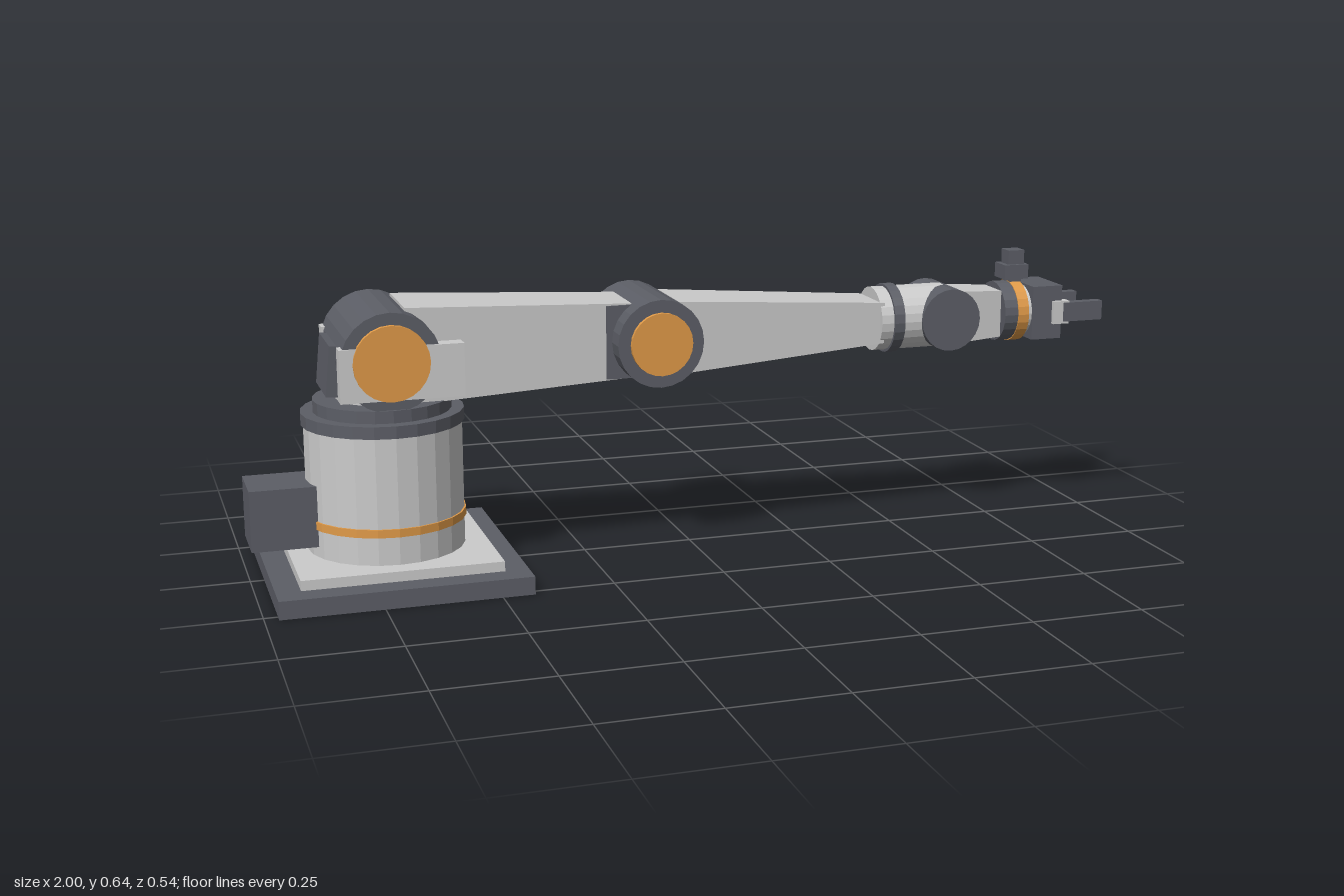
import * as THREE from 'three';

const mat = (color) => new THREE.MeshStandardMaterial({ color, flatShading: true });

export function createModel() {
  const model = new THREE.Group();
  const light = mat(0xcccccc), dark = mat(0x5c5e66), orange = mat(0xe09a48);
  const baseX = -0.7, elbowX = -0.105, wristX = 0.61, axisY = 0.495;

  const add = (name, geometry, material) => {
    const mesh = new THREE.Mesh(geometry, material);
    mesh.name = name;
    model.add(mesh);
    return mesh;
  };

  // Box given by its limits along each axis
  const box = (name, material, [x0, x1], [y0, y1], [z0, z1]) => {
    const mesh = add(name, new THREE.BoxGeometry(x1 - x0, y1 - y0, z1 - z0), material);
    mesh.position.set((x0 + x1) / 2, (y0 + y1) / 2, (z0 + z1) / 2);
    return mesh;
  };

  // Upright cylinder on the base axis
  const disc = (name, material, r, y0, y1) => {
    const mesh = add(name, new THREE.CylinderGeometry(r, r, y1 - y0, 24), material);
    mesh.position.set(baseX, (y0 + y1) / 2, 0);
  };

  // Cylinder lying along x
  const sleeve = (name, material, r, x0, x1, y = axisY) => {
    const geometry = new THREE.CylinderGeometry(r, r, x1 - x0, 24).rotateZ(Math.PI / 2);
    add(name, geometry, material).position.set((x0 + x1) / 2, y, 0);
  };

  // Cylinder lying across the arm, along z
  const pivot = (name, material, r, x, halfWidth) => {
    const geometry = new THREE.CylinderGeometry(r, r, halfWidth * 2, 24).rotateX(Math.PI / 2);
    add(name, geometry, material).position.set(x, axisY, 0);
  };

  // Tapered box along x; each end is [x, half height, half width]
  const link = (name, a, b) => {
    const geometry = new THREE.BoxGeometry(1, 2, 2);
    const p = geometry.attributes.position;
    for (let i = 0; i < p.count; i++) {
      const [x, h, w] = p.getX(i) < 0 ? a : b;
      p.setXYZ(i, x, p.getY(i) * h, p.getZ(i) * w);
    }
    geometry.computeVertexNormals();
    add(name, geometry, light).position.y = axisY;
  };

  // Base and rotating column
  box('basePlate', dark, [-0.97, -0.43], [0, 0.04], [-0.272, 0.272]);
  box('baseStep', light, [-0.917, -0.483], [0.04, 0.062], [-0.217, 0.217]);
  box('baseMotor', dark, [-1, -0.82], [0.085, 0.22], [-0.067, 0.067]);
  disc('column', light, 0.172, 0.06, 0.345);
  disc('columnBand', orange, 0.176, 0.124, 0.142);
  disc('columnCollar', dark, 0.177, 0.34, 0.367);
  disc('turntable', dark, 0.15, 0.365, 0.394);
  disc('turntableNeck', light, 0.1, 0.39, 0.43);

  // Shoulder with side cheeks and a rear cover
  pivot('shoulder', dark, 0.108, baseX, 0.143);
  pivot('shoulderCaps', orange, 0.082, baseX, 0.154);
  for (const s of [-1, 1]) {
    const z = [0.112 * s, 0.148 * s].sort((a, b) => a - b);
    box('shoulderCheek', light, [-0.81, -0.545], [0.415, 0.53], z);
  }
  const cover = box('rearCover', dark, [-0.825, -0.75], [0.412, 0.522], [-0.075, 0.075]);
  cover.rotation.z = -0.1;

  // Upper arm, elbow and forearm
  link('upperArm', [-0.66, 0.106, 0.092], [-0.15, 0.083, 0.073]);
  box('elbowBracket', dark, [-0.215, -0.12], [0.412, 0.576], [-0.079, 0.079]);
  pivot('elbow', dark, 0.098, elbowX, 0.129);
  pivot('elbowCaps', orange, 0.07, elbowX, 0.139);
  link('forearm', [-0.05, 0.082, 0.081], [0.45, 0.047, 0.062]);

  // Wrist
  sleeve('wristTube', light, 0.074, 0.44, 0.615);
  sleeve('wristRing', dark, 0.08, 0.47, 0.495);
  pivot('wristJoint', dark, 0.072, wristX, 0.079);
  link('wristLink', [0.62, 0.062, 0.056], [0.76, 0.054, 0.043]);
  sleeve('toolFlange', dark, 0.07, 0.752, 0.785);
  sleeve('toolBand', orange, 0.072, 0.785, 0.812);
  sleeve('toolNeck', light, 0.06, 0.81, 0.83);

  // Gripper with two fingers
  box('gripperBody', dark, [0.825, 0.9], [0.432, 0.558], [-0.063, 0.063]);
  for (const s of [-1, 1]) {
    const span = (a, b) => (s > 0 ? [a, b] : [-b, -a]);
    box('fingerMount', light, [0.875, 0.915], [0.468, 0.522], span(0.049, 0.073));
    box('finger', dark, [0.9, 1], [0.473, 0.518], span(0.052, 0.075));
  }

  // Sensor on top of the tool
  box('sensorStem', dark, [0.785, 0.815], [0.55, 0.575], [-0.018, 0.018]);
  box('sensorBody', dark, [0.768, 0.828], [0.572, 0.606], [-0.027, 0.027]);
  box('sensorTop', dark, [0.78, 0.82], [0.604, 0.639], [-0.019, 0.019]);
  sleeve('sensorLens', dark, 0.014, 0.82, 0.833, 0.589);

  return model;
}
